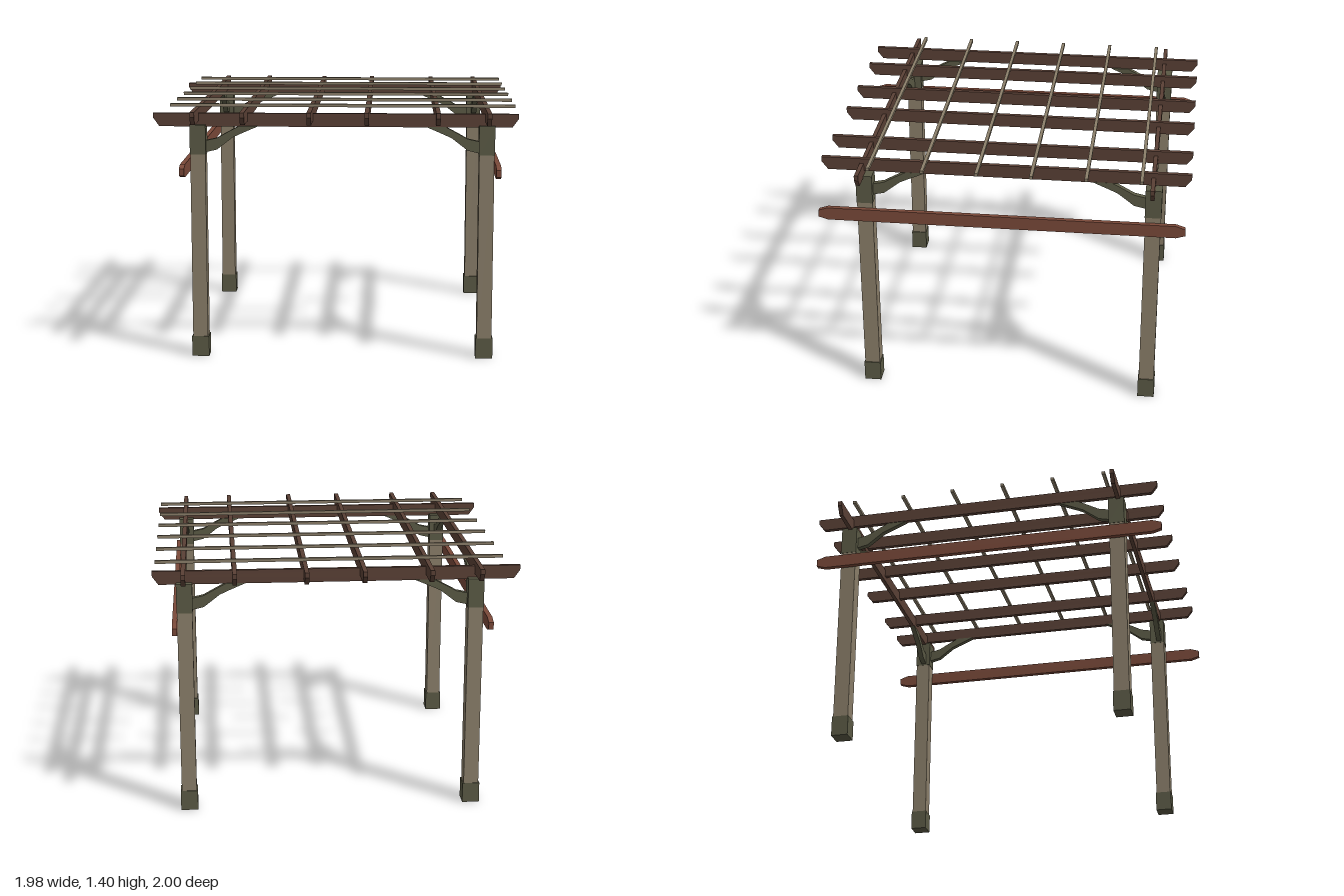
import * as THREE from 'three';

const mat = (name, color) => {
  const m = new THREE.MeshStandardMaterial({ color });
  m.name = name;
  return m;
};

export function createModel() {
  const group = new THREE.Group();
  const postWood = mat('weathered wood', 0x8b7f6a);
  const darkWood = mat('dark brown wood', 0x5a4035);
  const redWood = mat('red brown wood', 0x7a4939);
  const greenWood = mat('grey green wood', 0x5b5a45);

  const add = (name, geo, material, x = 0, y = 0, z = 0) => {
    const mesh = new THREE.Mesh(geo, material);
    mesh.name = name;
    mesh.position.set(x, y, z);
    group.add(mesh);
  };

  // Plank with outline [along, height], running along x or z
  const plank = (points, thickness, axis) => {
    const shape = new THREE.Shape(points.map(([u, v]) => new THREE.Vector2(u, v)));
    const geo = new THREE.ExtrudeGeometry(shape, { depth: thickness, bevelEnabled: false });
    geo.translate(0, 0, -thickness / 2);
    if (axis === 'z') geo.rotateY(-Math.PI / 2);
    return geo;
  };

  // Board with its lower end corners cut off
  const cutBoard = (a, b, y0, y1) => [
    [a, y1], [a, y1 - 0.027], [a + 0.033, y0], [b - 0.033, y0], [b, y1 - 0.027], [b, y1],
  ];

  const postX = [-0.748, 0.818];
  const postZ = [-0.805, 0.748];
  const beamZ = [-0.8, 0.76];

  // Curved brace: [distance from post face, height below the supported board]
  const brace = [
    [-0.02, -0.14], [0, -0.14], [0.06, -0.126], [0.1, -0.095], [0.145, -0.06], [0.185, -0.041],
    [0.285, 0.002], [0.18, 0.002], [0.125, -0.027], [0.06, -0.063], [0, -0.076], [-0.02, -0.076],
  ];

  postX.forEach((x) => postZ.forEach((z, j) => {
    // Post with base and top sleeve
    add('post', new THREE.BoxGeometry(0.082, 1.2, 0.084), postWood, x, 0.62, z);
    add('postBase', new THREE.BoxGeometry(0.094, 0.112, 0.092), greenWood, x, 0.056, z);
    add('postSleeve', new THREE.BoxGeometry(0.086, 0.16, 0.088), greenWood, x, 1.21, z);

    // Braces towards the middle along x and z
    const sx = -Math.sign(x), sz = -Math.sign(z);
    add('beamBrace', plank(brace.map(([u, v]) => [sx * u, v]), 0.03, 'x'),
      greenWood, x + sx * 0.043, 1.28, beamZ[j]);
    add('rafterBrace', plank(brace.map(([u, v]) => [sz * u, v]), 0.03, 'z'),
      greenWood, x, 1.31, z + sz * 0.044);
  }));

  // Main beams across front and back
  for (const z of beamZ)
    add('beam', plank(cutBoard(-0.99, 0.987, 1.28, 1.353), 0.022, 'x'), darkWood, 0, 0, z);

  // Rafters running front to back
  for (const x of [-0.755, -0.49, -0.135, 0.172, 0.55, 0.82])
    add('rafter', plank(cutBoard(-1, 0.978, 1.31, 1.38), 0.024, 'z'), darkWood, x);

  // Thin slats on top
  for (let i = 0; i < 6; i++)
    add('slat', new THREE.BoxGeometry(1.878, 0.017, 0.018), postWood, 0.034, 1.3885, 0.7 - i * 0.2885);

  // Side rails with pointed ends
  const rail = [
    [-0.98, 1.045], [-0.93, 1.03], [0.95, 1.03], [1, 1.045],
    [1, 1.083], [0.95, 1.1], [-0.93, 1.1], [-0.98, 1.083],
  ];
  for (const x of [-0.811, 0.871])
    add('sideRail', plank(rail, 0.027, 'z'), redWood, x);

  return group;
}
